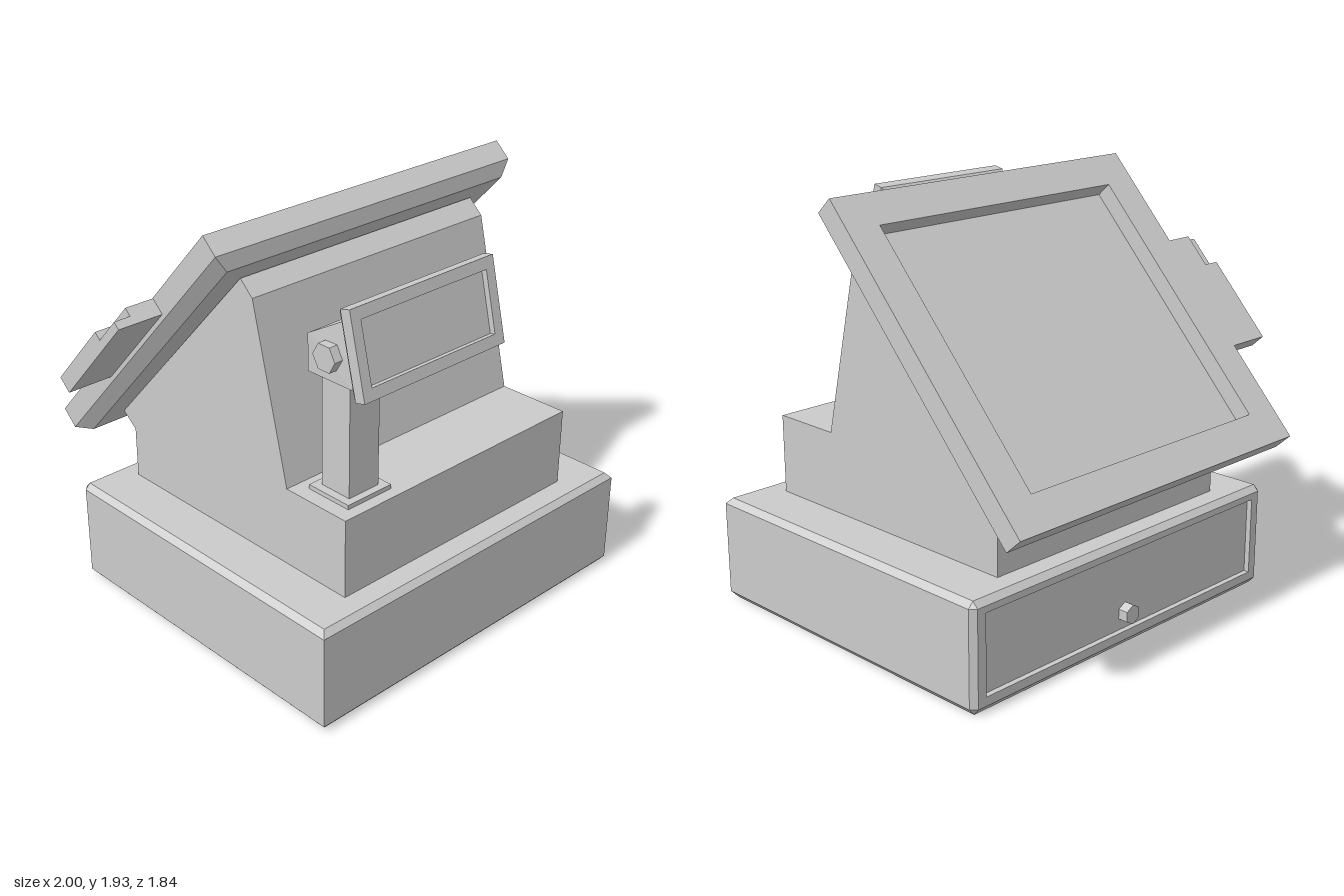
import * as THREE from 'three';
import { ConvexGeometry } from 'three/addons/geometries/ConvexGeometry.js';

const material = new THREE.MeshStandardMaterial({ color: 0xcccccc, flatShading: true });

function add(parent, name, geometry, x = 0, y = 0, z = 0) {
  const mesh = new THREE.Mesh(geometry, material);
  mesh.name = name;
  mesh.position.set(x, y, z);
  parent.add(mesh);
  return mesh;
}

// Box given by its limits on each axis
function block(parent, name, [x0, x1], [y0, y1], [z0, z1]) {
  return add(parent, name, new THREE.BoxGeometry(x1 - x0, y1 - y0, z1 - z0),
    (x0 + x1) / 2, (y0 + y1) / 2, (z0 + z1) / 2);
}

const polygon = (points) => points.map(([x, y]) => new THREE.Vector2(x, y));
const rectangle = (w, h, cx = 0, cy = 0) => polygon([
  [cx - w / 2, cy - h / 2], [cx + w / 2, cy - h / 2], [cx + w / 2, cy + h / 2], [cx - w / 2, cy + h / 2]]);

// Flat plate with one opening, extruded towards +z
function frame(outer, hole, depth) {
  const shape = new THREE.Shape(outer);
  shape.holes.push(new THREE.Path(hole));
  return new THREE.ExtrudeGeometry(shape, { depth, bevelEnabled: false });
}

// Panel facing +z at z = 0: sunken face, straight rim, bevelled back
function panel(name, w, h, { rim, bevel, inset, borderX, borderY, recess }) {
  const group = new THREE.Group();
  group.name = name;
  add(group, name + 'Frame',
    frame(rectangle(w, h), rectangle(w - 2 * borderX, h - 2 * borderY), recess), 0, 0, -recess);
  const points = [];
  for (const [z, cut] of [[-recess, 0], [-rim, 0], [-rim - bevel, inset]])
    for (const p of rectangle(w - 2 * cut, h - 2 * cut)) points.push(new THREE.Vector3(p.x, p.y, z));
  add(group, name + 'Back', new ConvexGeometry(points));
  return group;
}

// Drawer base with chamfered edges; the drawer sits in the back
function buildBase(model) {
  const cx = 0.08, half = 0.92, c = 0.025, top = 0.487, back = -0.71, front = 0.88;
  const points = [];
  for (const s of [-1, 1]) {
    for (const y of [0, top])
      for (const z of [back, front - c]) points.push(new THREE.Vector3(s * (half - c), y, z));
    for (const y of [0.03, 0.46])
      for (const z of [back, front]) points.push(new THREE.Vector3(s * half, y, z));
  }
  add(model, 'drawerBase', new ConvexGeometry(points), cx);

  const i = half - c;
  const outline = polygon([[-i, 0], [i, 0], [half, 0.03], [half, 0.46], [i, top], [-i, top], [-half, 0.46], [-half, 0.03]]);
  const surround = frame(outline, rectangle(1.7, 0.36, 0, 0.25), c);
  // Pull the outer end in to form the chamfer
  const pos = surround.attributes.position;
  for (let k = 0; k < pos.count; k++) {
    if (pos.getZ(k) > c / 2) continue;
    pos.setX(k, THREE.MathUtils.clamp(pos.getX(k), -i, i));
    pos.setY(k, THREE.MathUtils.clamp(pos.getY(k), 0.03, 0.46));
  }
  surround.computeVertexNormals();
  add(model, 'drawerSurround', surround, cx, 0, back - c);

  const lock = new THREE.CylinderGeometry(0.045, 0.045, 0.05, 6).rotateX(Math.PI / 2);
  add(model, 'drawerLock', lock, cx, 0.145, -0.732);
}

// Wedge housing, a side profile of (z, y) extruded across x
function buildHousing(model) {
  const profile = polygon([[0.755, 0.48], [0.755, 0.85], [0.41, 0.85], [0.22, 1.64], [0.15, 1.705],
    [-0.7, 0.79], [-0.62, 0.725], [-0.62, 0.48]]);
  const geometry = new THREE.ExtrudeGeometry(new THREE.Shape(profile), { depth: 1.36, bevelEnabled: false });
  geometry.rotateY(-Math.PI / 2);
  add(model, 'housing', geometry, 0.755);
}

// Tilted operator screen with the card reader on its side
function buildScreen(model) {
  const screen = panel('screen', 1.71, 1.564,
    { rim: 0.1, bevel: 0.055, inset: 0.05, borderX: 0.167, borderY: 0.157, recess: 0.08 });
  screen.position.set(0.075, 1.355, -0.39);
  screen.rotation.set(0.745, Math.PI, 0);
  block(screen, 'cardReaderBody', [0.84, 0.995], [-0.298, 0.282], [-0.08, -0.002]);
  block(screen, 'cardReaderSide', [0.995, 1.075], [-0.298, 0.122], [-0.08, -0.002]);
  block(screen, 'cardReaderSlot', [0.995, 1.075], [0.122, 0.282], [-0.08, -0.042]);
  model.add(screen);
}

// Customer display on its post
function buildCustomerDisplay(model) {
  const x = -0.414;
  block(model, 'postFoot', [x - 0.122, x + 0.122], [0.845, 0.87], [0.47, 0.7]);
  block(model, 'post', [x - 0.083, x + 0.083], [0.86, 1.4], [0.505, 0.665]);

  // Neck tapers towards the display: z, y, half width
  const corners = [[0.47, 1.39, 0.125], [0.47, 1.555, 0.125], [0.71, 1.39, 0.122],
    [0.83, 1.49, 0.115], [0.77, 1.725, 0.1]];
  const points = corners.flatMap(([z, y, w]) => [-w, w].map((dx) => new THREE.Vector3(dx, y, z)));
  add(model, 'displayNeck', new ConvexGeometry(points), x);
  const knob = new THREE.CylinderGeometry(0.063, 0.063, 0.06, 6).rotateZ(Math.PI / 2);
  add(model, 'tiltKnob', knob, -0.545, 1.5, 0.598);

  const display = panel('customerDisplay', 0.785, 0.365,
    { rim: 0.05, bevel: 0.038, inset: 0.03, borderX: 0.048, borderY: 0.05, recess: 0.025 });
  display.position.set(-0.2775, 1.632, 0.8775);
  display.rotation.x = -0.235;
  model.add(display);
}

export function createModel() {
  const model = new THREE.Group();
  model.name = 'cashRegister';
  buildBase(model);
  buildHousing(model);
  buildScreen(model);
  buildCustomerDisplay(model);
  return model;
}
